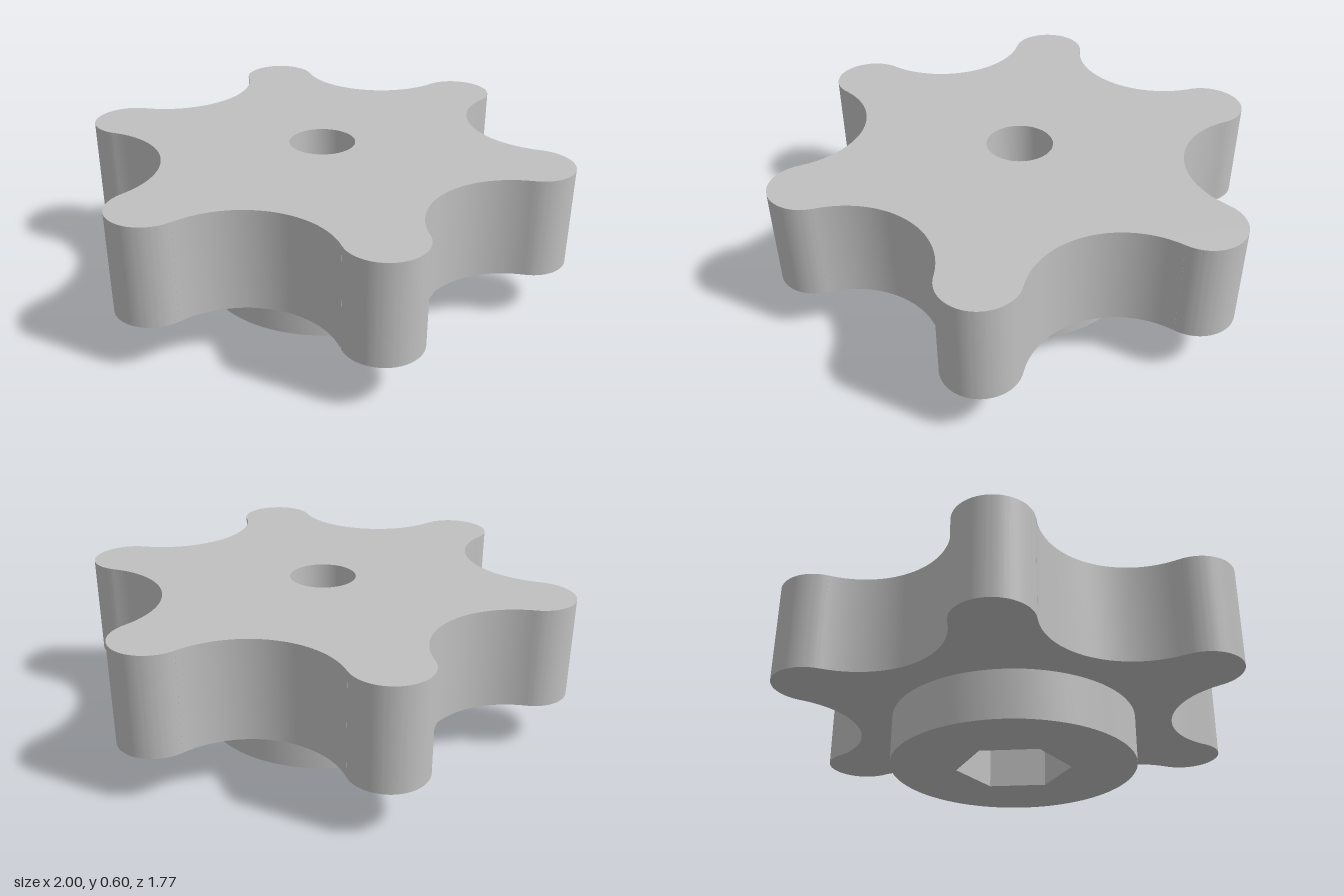
import * as THREE from 'three';
import { toCreasedNormals } from 'three/addons/utils/BufferGeometryUtils.js';

const LOBES = 6;
const LOBE_DIST = 0.85, LOBE_R = 0.15;   // rounded tips
const NOTCH_DIST = 1.0, NOTCH_R = 0.35;  // finger scallops between tips

// Extrude a plan shape upward from y0, smooth on curves and sharp at edges
function slab(shape, y0, height, curveSegments) {
  const geo = new THREE.ExtrudeGeometry(shape, { depth: height, bevelEnabled: false, curveSegments });
  geo.rotateX(-Math.PI / 2);
  geo.translate(0, y0, 0);
  return toCreasedNormals(geo, 0.5);
}

// Star outline of tangent arcs: convex tip, then concave scallop
function starShape() {
  const step = (Math.PI * 2) / LOBES;
  const beta = Math.atan2(
    NOTCH_DIST * Math.sin(step / 2),
    NOTCH_DIST * Math.cos(step / 2) - LOBE_DIST
  );
  const shape = new THREE.Shape();
  for (let i = 0; i < LOBES; i++) {
    const a = i * step, n = a + step / 2;
    shape.absarc(LOBE_DIST * Math.cos(a), LOBE_DIST * Math.sin(a), LOBE_R, a - beta, a + beta, false);
    shape.absarc(NOTCH_DIST * Math.cos(n), NOTCH_DIST * Math.sin(n), NOTCH_R,
      a + beta + Math.PI, a + step - beta + Math.PI, true);
  }
  return shape;
}

export function createModel() {
  const grey = new THREE.MeshStandardMaterial({ color: 0xc0c0c0 });
  grey.name = 'light grey';
  const group = new THREE.Group();
  group.name = 'starKnob';

  const add = (name, geometry) => {
    const mesh = new THREE.Mesh(geometry, grey);
    mesh.name = name;
    group.add(mesh);
  };

  // Six-lobed grip with a round bore
  const grip = starShape();
  grip.holes.push(new THREE.Path().absarc(0, 0, 0.133, 0, Math.PI * 2, true));
  add('grip', slab(grip, 0.2, 0.4, 28));

  // Round hub below with a hexagonal nut socket
  const hub = new THREE.Shape().absarc(0, 0, 0.5, 0, Math.PI * 2, false);
  const corners = [];
  for (let i = 0; i < 6; i++) {
    const a = Math.PI / 6 - (i * Math.PI) / 3;
    corners.push(new THREE.Vector2(0.235 * Math.cos(a), 0.235 * Math.sin(a)));
  }
  hub.holes.push(new THREE.Path(corners).closePath());
  add('hub', slab(hub, 0, 0.2, 40));

  return group;
}
